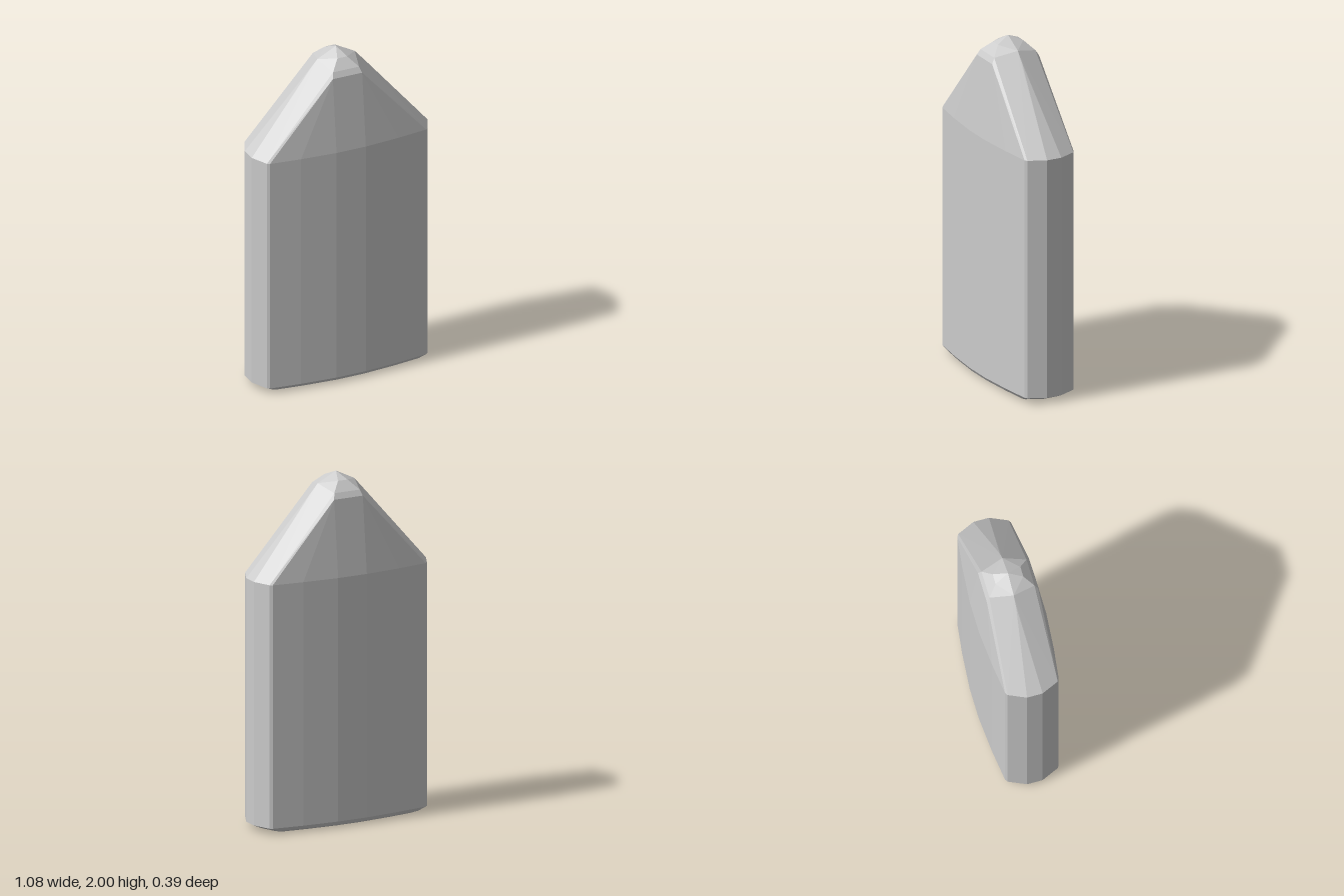
import * as THREE from 'three';
import { ConvexGeometry } from 'three/addons/geometries/ConvexGeometry.js';

// One quarter of the plan outline: [x, z], from the broad face round to the narrow edge
const outline = [[0.09, 0.195], [0.3, 0.178], [0.48, 0.155], [0.495, 0.145], [0.54, 0.045]];

// One quarter of the rounded point: [x, y, z]
const tip = [
  [0.09, 1.88, 0.148], [0.08, 1.912, 0.13], [0.03, 1.964, 0.08],
  [0.165, 1.885, 0], [0.115, 1.942, 0], [0, 2, 0],
];

// Horizontal outline at a height, pulled in by the given amounts
const ring = (y, insetX = 0, insetZ = 0) =>
  outline.map(([x, z]) => [x * (1 - insetX / 0.54), y, z * (1 - insetZ / 0.195)]);

// Mirror a quarter into all four quadrants, dropping duplicates on the axes
function mirrorQuarter(points) {
  const out = [];
  for (const [x, y, z] of points) {
    for (const sx of x ? [1, -1] : [1]) {
      for (const sz of z ? [1, -1] : [1]) out.push(new THREE.Vector3(x * sx, y, z * sz));
    }
  }
  return out;
}

export function createModel() {
  const group = new THREE.Group();
  group.name = 'pointedSlab';

  const points = mirrorQuarter([
    ...ring(0, 0.09, 0.045),       // underside
    ...ring(0.014, 0.045, 0.014),  // bottom bevel
    ...ring(0.035),                // foot of the straight sides
    ...ring(1.44),                 // shoulders
    ...tip,
  ]);

  const material = new THREE.MeshStandardMaterial({ color: 0xcccccc, flatShading: true });
  const body = new THREE.Mesh(new ConvexGeometry(points), material);
  body.name = 'body';
  group.add(body);
  return group;
}
